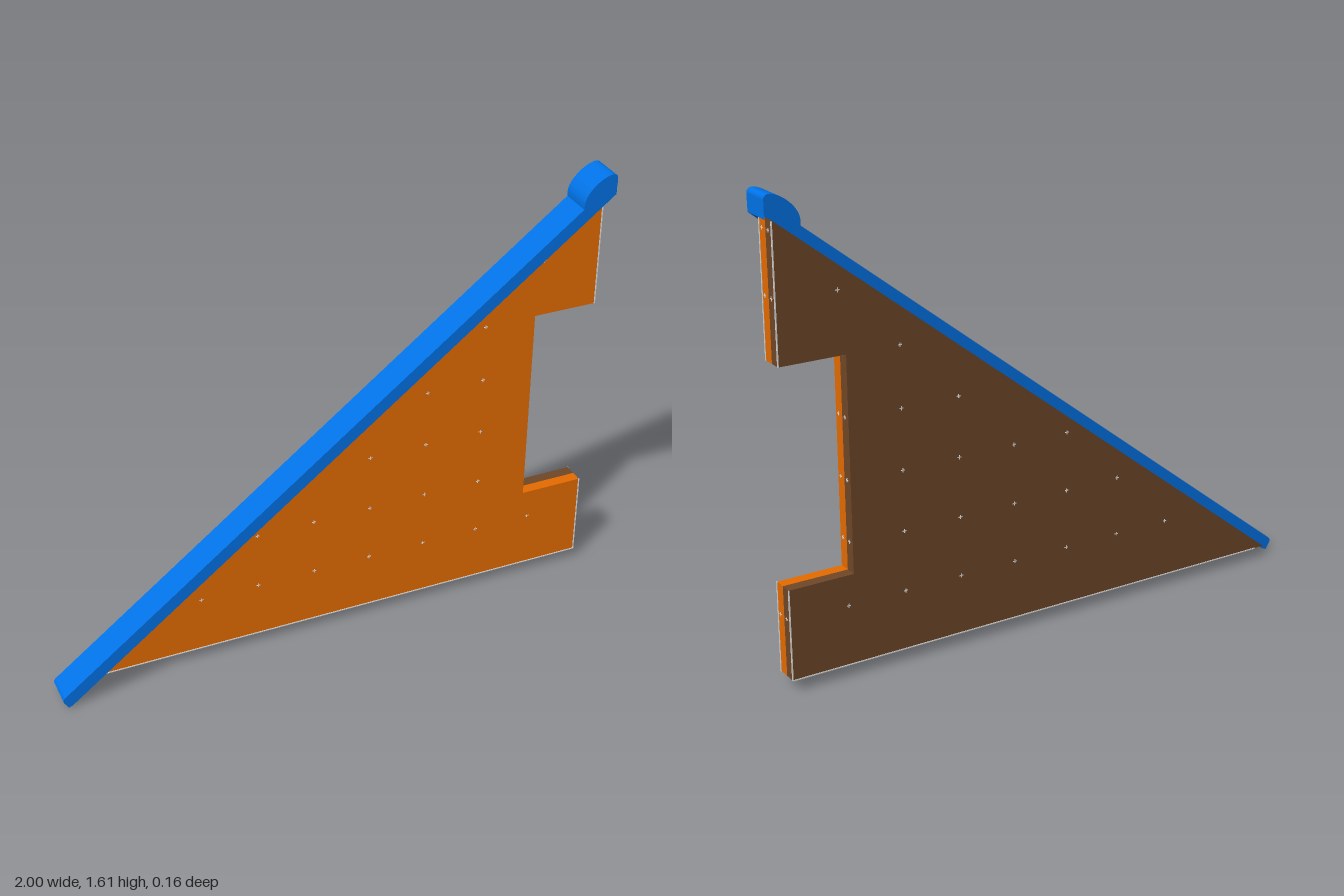
import * as THREE from 'three';

const paint = (name, color) => {
  const m = new THREE.MeshStandardMaterial({ color });
  m.name = name;
  return m;
};

// Extrudes an outline between two depths
function plate(name, shape, zBack, zFront, material) {
  const geo = new THREE.ExtrudeGeometry(shape, {
    depth: zFront - zBack, bevelEnabled: false, curveSegments: 12,
  });
  geo.translate(0, 0, zBack);
  const mesh = new THREE.Mesh(geo, material);
  mesh.name = name;
  return mesh;
}

const outline = (pts) => new THREE.Shape(pts.map(([x, y]) => new THREE.Vector2(x, y)));

function bar(name, size, position, material) {
  const mesh = new THREE.Mesh(new THREE.BoxGeometry(...size), material);
  mesh.position.set(...position);
  mesh.name = name;
  return mesh;
}

export function createModel() {
  const group = new THREE.Group();
  group.name = 'halfGable';
  const orange = paint('orange', 0xe66c00);
  const brown = paint('brown', 0x6f4728);
  const blue = paint('blue', 0x0074ea);
  const pale = paint('paleGrey', 0xe0e0e0);
  const front = 0.004, back = -0.078, side = 0.998, bottom = 0.042;

  // Triangular wall with a rectangular notch in its upright edge
  const wall = outline([
    [-0.93, bottom], [side, bottom], [side, 0.356], [0.768, 0.356],
    [0.768, 1.091], [side, 1.091], [side, 1.545],
  ]);
  group.add(plate('frontPanel', wall, -0.037, front, orange));
  group.add(plate('backPanel', wall, back, -0.037, brown));

  // Hairline pale edges on the upright side and along the bottom
  for (const z of [front, back]) {
    for (const [y0, y1] of [[bottom, 0.356], [1.091, 1.54]]) {
      group.add(bar('uprightEdge', [0.004, y1 - y0, 0.004], [side, (y0 + y1) / 2, z], pale));
    }
    group.add(bar('bottomEdge', [side + 0.89, 0.004, 0.004], [(side - 0.89) / 2, bottom, z], pale));
  }

  // Tiny pale cross marks on a regular grid over both faces
  const long = 0.014, thin = 0.003;
  for (let row = 1; row < 8; row++) {
    const y = 0.04 + row * 0.21;
    const inNotch = y > 0.35 && y < 1.1;
    for (let x = -0.89; x < (inNotch ? 0.75 : 0.98); x += 0.21) {
      if (y > 0.72 + x * 0.778) continue;
      for (const z of [front, back]) {
        group.add(bar('faceMark', [long, thin, thin], [x, y, z], pale));
        group.add(bar('faceMark', [thin, long, thin], [x, y, z], pale));
      }
    }
    // The same marks on the upright side and the notch wall
    for (const z of [-0.013, -0.056]) {
      const x = inNotch ? 0.768 : side;
      group.add(bar('sideMark', [thin, long, thin], [x, y, z], pale));
      group.add(bar('sideMark', [thin, thin, long], [x, y, z], pale));
    }
  }

  // Sloping edge board, square at its foot and cut upright at the top
  const board = outline([
    [-0.982, 0], [-0.968, 0.006], [1, 1.538], [1, 1.595],
    [-0.994, 0.044], [-1, 0.034], [-0.998, 0.026],
  ]);
  group.add(plate('edgeBoard', board, -0.035, 0.078, blue));

  // Rounded cap on the peak
  const cap = new THREE.Shape();
  cap.moveTo(0.885, 1.485);
  cap.lineTo(1, 1.57);
  cap.lineTo(1, 1.598);
  cap.quadraticCurveTo(0.998, 1.613, 0.98, 1.613);
  cap.bezierCurveTo(0.945, 1.61, 0.895, 1.57, 0.885, 1.535);
  cap.quadraticCurveTo(0.879, 1.515, 0.885, 1.485);
  group.add(plate('peakCap', cap, -0.036, 0.079, blue));

  return group;
}
